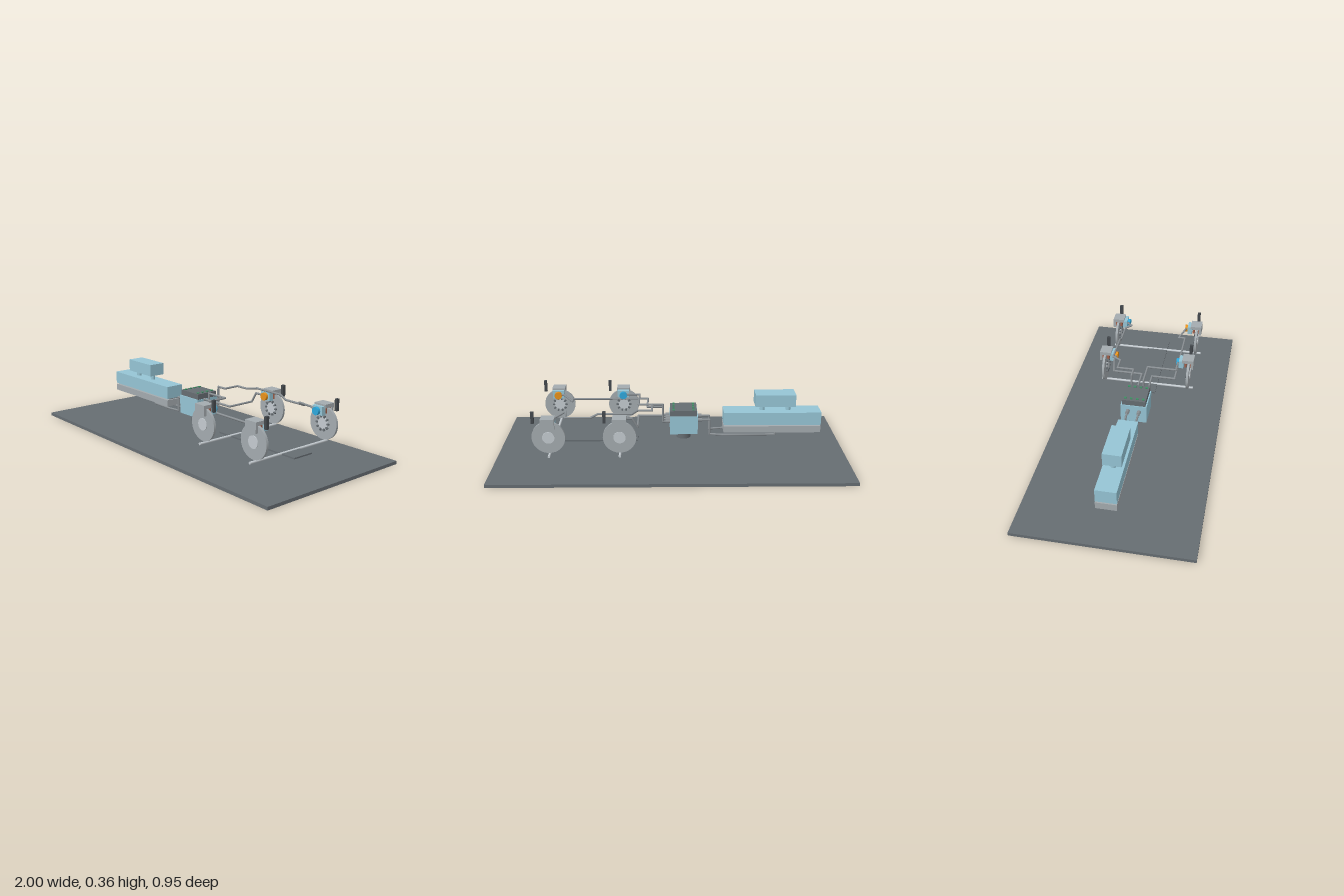
import * as THREE from 'three';

const mats = {};
const mat = (color) => (mats[color] ??= new THREE.MeshStandardMaterial({ color }));
const BLUE = 0x96c5d5, GREY = 0xa4abaf, DARK = 0x666d72, STEEL = 0x8a9094;
const BLACK = 0x44494d, LIGHT = 0xc4cbd0, ORANGE = 0xe8921c, CYAN = 0x2ea8dc, COPPER = 0xa5604a, GREEN = 0x3f8f63;

function add(parent, name, geometry, color, x = 0, y = 0, z = 0) {
  const mesh = new THREE.Mesh(geometry, mat(color));
  mesh.name = name;
  mesh.position.set(x, y, z);
  parent.add(mesh);
  return mesh;
}

// Box given by its minimum and maximum on each axis
function box(parent, name, color, [x0, x1], [y0, y1], [z0, z1]) {
  return add(parent, name, new THREE.BoxGeometry(x1 - x0, y1 - y0, z1 - z0), color,
    (x0 + x1) / 2, (y0 + y1) / 2, (z0 + z1) / 2);
}

// Cylinder along a chosen axis
function rod(parent, name, color, axis, radius, length, x, y, z, sides = 24) {
  const g = new THREE.CylinderGeometry(radius, radius, length, sides);
  if (axis === 'x') g.rotateZ(Math.PI / 2);
  if (axis === 'z') g.rotateX(Math.PI / 2);
  return add(parent, name, g, color, x, y, z);
}

// Straight pipe runs with ball joints at the bends
function pipe(parent, name, points, radius = 0.006) {
  const group = new THREE.Group();
  group.name = name;
  const pts = points.map((p) => new THREE.Vector3(...p));
  pts.forEach((p, i) => {
    add(group, 'pipeBend', new THREE.SphereGeometry(radius, 10, 8), STEEL, p.x, p.y, p.z);
    if (!i) return;
    const run = new THREE.TubeGeometry(new THREE.LineCurve3(pts[i - 1], p), 1, radius, 10);
    add(group, 'pipeRun', run, STEEL);
  });
  parent.add(group);
}

// Disc brake for the +z side, centred on the rotor in x
function wheelBrake(pistonColor) {
  const g = new THREE.Group();
  g.name = 'wheelBrake';
  rod(g, 'rotor', GREY, 'z', 0.092, 0.014, 0, 0.197, 0.256, 48);
  rod(g, 'hub', LIGHT, 'z', 0.034, 0.022, 0, 0.197, 0.256, 32);
  for (let i = 0; i < 10; i++) {
    const a = (i / 10) * Math.PI * 2;
    const tooth = add(g, 'sensorRingTooth', new THREE.BoxGeometry(0.014, 0.009, 0.012), DARK,
      Math.cos(a) * 0.038, 0.197 + Math.sin(a) * 0.038, 0.245);
    tooth.rotation.z = a;
  }
  // Caliper bridge with its outer and inner legs
  box(g, 'caliperBridge', GREY, [-0.038, 0.038], [0.29, 0.31], [0.217, 0.285]);
  box(g, 'caliperOuterLeg', GREY, [-0.038, 0.038], [0.252, 0.292], [0.27, 0.285]);
  box(g, 'caliperInnerLeg', BLUE, [-0.034, 0.034], [0.252, 0.3], [0.197, 0.225]);
  rod(g, 'piston', pistonColor, 'z', 0.022, 0.02, 0, 0.274, 0.19);
  box(g, 'innerPad', COPPER, [-0.03, 0.03], [0.258, 0.292], [0.231, 0.242]);
  box(g, 'outerPad', COPPER, [-0.03, 0.03], [0.258, 0.292], [0.264, 0.27]);
  box(g, 'speedSensor', BLACK, [0.074, 0.09], [0.28, 0.346], [0.247, 0.265]);
  return g;
}

export function createModel() {
  const model = new THREE.Group();
  model.name = 'brakeSystem';
  box(model, 'basePlate', DARK, [-1, 1], [0, 0.018], [-0.475, 0.475]);

  // Master cylinder, split to show the pistons
  const master = new THREE.Group();
  master.name = 'masterCylinder';
  model.add(master);
  box(master, 'upperBody', BLUE, [-0.86, -0.3], [0.18, 0.255], [-0.056, 0.056]);
  box(master, 'lowerBody', GREY, [-0.86, -0.3], [0.133, 0.172], [-0.056, 0.056]);
  const inner = [[-0.77, 0.14, BLACK], [-0.67, 0.06, GREY], [-0.575, 0.13, COPPER],
    [-0.48, 0.06, CYAN], [-0.41, 0.08, ORANGE], [-0.34, 0.06, STEEL]];
  for (const [x, length, color] of inner) rod(master, 'innerPiston', color, 'x', 0.034, length, x, 0.176, 0);
  box(master, 'fluidReservoir', BLUE, [-0.71, -0.48], [0.288, 0.36], [-0.05, 0.05]);
  for (const x of [-0.675, -0.525]) rod(master, 'reservoirPort', BLUE, 'y', 0.014, 0.04, x, 0.27, 0);

  // Pressure control block
  const block = new THREE.Group();
  block.name = 'controlBlock';
  model.add(block);
  box(block, 'valveBody', BLUE, [-0.15, 0.01], [0.132, 0.24], [-0.074, 0.074]);
  box(block, 'controlUnit', DARK, [-0.145, 0.008], [0.24, 0.272], [-0.067, 0.067]);
  box(block, 'motorGasket', ORANGE, [-0.12, -0.02], [0.126, 0.132], [-0.05, 0.05]);
  rod(block, 'pumpMotor', DARK, 'y', 0.042, 0.038, -0.07, 0.109, 0);
  for (const x of [-0.125, -0.012]) for (let i = 0; i < 4; i++)
    box(block, 'valveTerminal', GREEN, [x - 0.006, x + 0.006], [0.27, 0.277], [-0.058 + i * 0.034, -0.044 + i * 0.034]);
  const outlets = [-0.05, -0.015, 0.02, 0.055];
  for (const z of outlets) rod(block, 'outletFitting', STEEL, 'x', 0.011, 0.03, 0.02, 0.203, z, 12);
  for (const z of [-0.032, 0.032]) rod(block, 'inletFitting', STEEL, 'x', 0.011, 0.03, -0.16, 0.205, z, 12);

  // Supply pipes from the master cylinder
  for (const [s, x, y] of [[-1, -0.6, 0.115], [1, -0.45, 0.122]]) {
    pipe(model, 'supplyPipe', [[x, 0.14, s * 0.04], [x, y, s * 0.04], [-0.3, y, s * 0.044],
      [-0.22, y, s * 0.032], [-0.22, 0.205, s * 0.032], [-0.15, 0.205, s * 0.032]]);
  }

  // Pipes to the four brakes
  const [a, b, c, d] = outlets;
  const start = (z, y) => [[0.02, 0.203, z], [0.05, 0.203, z], [0.05, y, z]];
  pipe(model, 'brakePipe', [...start(a, 0.308), [0.11, 0.308, a], [0.11, 0.308, -0.145], [0.19, 0.308, -0.145],
    [0.22, 0.308, -0.195], [0.41, 0.308, -0.195], [0.45, 0.286, -0.195], [0.59, 0.286, -0.195],
    [0.59, 0.308, -0.155], [0.64, 0.29, -0.19], [0.67, 0.28, -0.19]]);
  pipe(model, 'brakePipe', [...start(b, 0.225), [0.19, 0.225, b], [0.19, 0.225, -0.185],
    [0.22, 0.28, -0.19], [0.28, 0.28, -0.19]]);
  pipe(model, 'brakePipe', [...start(c, 0.28), [0.19, 0.28, c], [0.19, 0.28, 0.19], [0.28, 0.28, 0.19]]);
  pipe(model, 'brakePipe', [...start(d, 0.252), [0.14, 0.252, d], [0.14, 0.252, 0.19], [0.59, 0.252, 0.19],
    [0.59, 0.252, 0.15], [0.64, 0.28, 0.18], [0.67, 0.28, 0.19]]);

  // Chassis plate, axles and the diagonally split brakes
  box(model, 'chassisPlate', DARK, [0.195, 0.77], [0.086, 0.094], [-0.065, 0.065]);
  [0.288, 0.678].forEach((x, i) => {
    rod(model, 'axle', LIGHT, 'z', 0.007, 0.572, x, 0.092, 0, 16);
    for (const side of [1, -1]) {
      const brake = wheelBrake((side > 0) === (i > 0) ? ORANGE : CYAN);
      brake.position.x = x;
      brake.scale.z = side;
      model.add(brake);
    }
  });
  return model;
}
